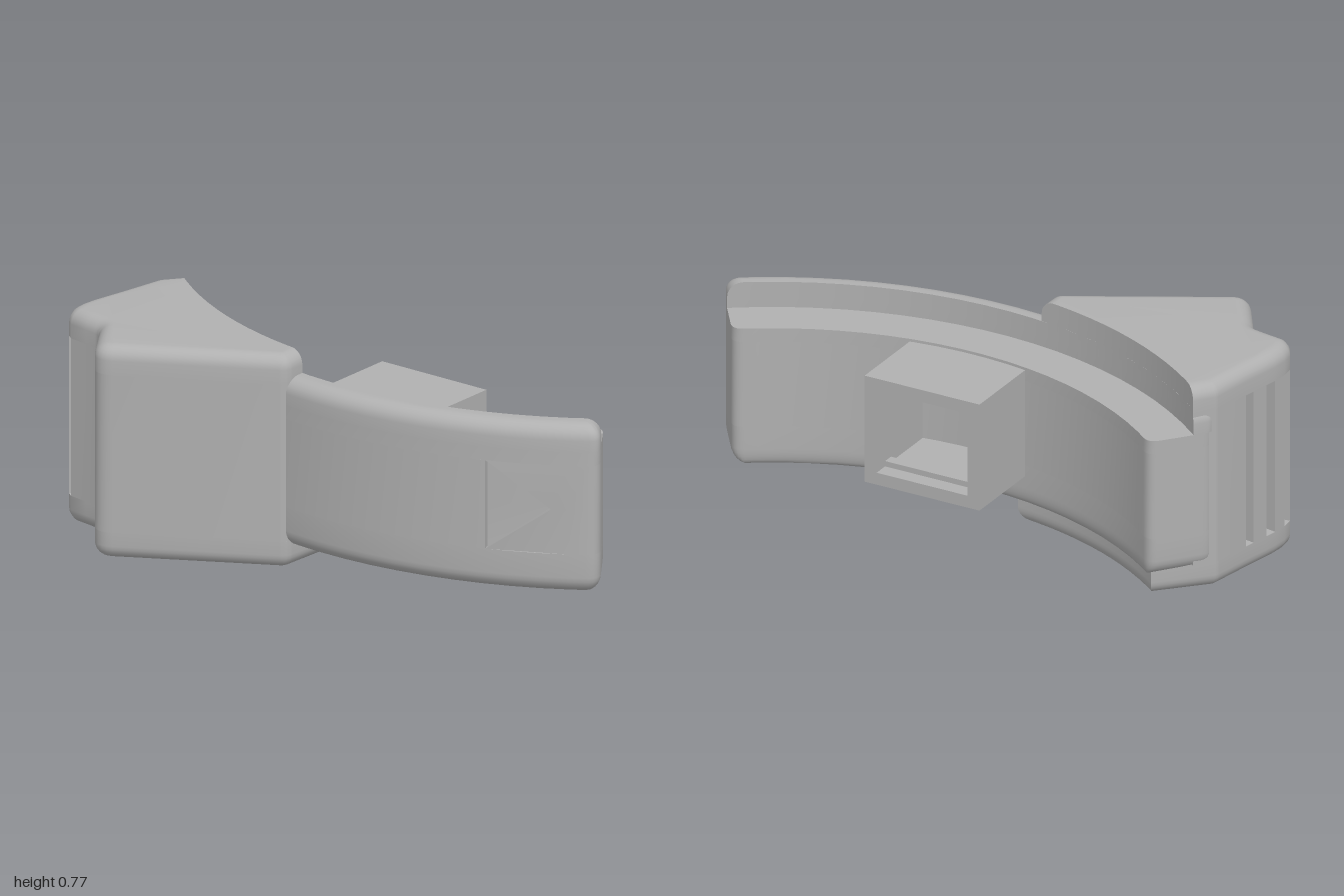
import * as THREE from 'three';
import { toCreasedNormals } from 'three/addons/utils/BufferGeometryUtils.js';

const CX = 1.47, CZ = 0.03;                       // centre of the curved band
const R_IN = 1.36, R_MID = 1.525, R_OUT = 1.605;  // inner face, step line, outer face
const SPAN = 37.7, SEGS = 20;

const polar = (r, deg) => {
  const a = THREE.MathUtils.degToRad(deg);
  return [CX - r * Math.cos(a), CZ + r * Math.sin(a)];
};

// Corners are [x, z, rounding, inset weight of the edge that follows].
// Insets the outline by d, then rounds its corners.
function outline(corners, d) {
  const n = corners.length;
  const edges = corners.map((c, i) => {
    const e = corners[(i + 1) % n];
    const dir = new THREE.Vector2(e[0] - c[0], e[1] - c[1]).normalize();
    const w = d * (c[3] ?? 1);
    return { dir, p: new THREE.Vector2(c[0] - dir.y * w, c[1] + dir.x * w) };
  });
  const pts = edges.map((e, i) => {
    const f = edges[(i + n - 1) % n];
    const cross = f.dir.cross(e.dir);
    if (d === 0 || Math.abs(cross) < 1e-3) return e.p.clone();
    const t = e.p.clone().sub(f.p).cross(e.dir) / cross;
    return f.p.clone().addScaledVector(f.dir, t);
  });
  const out = [];
  pts.forEach((p, i) => {
    const r = corners[i][2] ?? 0;
    if (!r) { out.push(p); return; }
    const a = pts[(i + n - 1) % n], b = pts[(i + 1) % n];
    const turn = edges[(i + n - 1) % n].dir.cross(edges[i].dir);
    const angle = Math.asin(Math.min(1, Math.abs(turn)));
    const radius = turn > 0 ? Math.max(r - d, 0.004) : r + d;
    const t = Math.min(radius * Math.tan(angle / 2), 0.48 * p.distanceTo(a), 0.48 * p.distanceTo(b));
    const start = p.clone().add(a.clone().sub(p).setLength(t));
    const end = p.clone().add(b.clone().sub(p).setLength(t));
    out.push(...new THREE.QuadraticBezierCurve(start, p, end).getPoints(6));
  });
  return out;
}

// Skins a stack of outlines [{ y, pts }] and closes both ends.
function loft(layers) {
  const pos = [], index = [], n = layers[0].pts.length;
  layers.forEach(({ y, pts }) => pts.forEach(p => pos.push(p.x, y, p.y)));
  for (let k = 0; k < layers.length - 1; k++) {
    for (let i = 0; i < n; i++) {
      const a = k * n + i, b = k * n + (i + 1) % n;
      index.push(a, a + n, b, b, a + n, b + n);
    }
  }
  const top = (layers.length - 1) * n;
  for (const [a, b, c] of THREE.ShapeUtils.triangulateShape(layers[0].pts, [])) index.push(a, b, c);
  for (const [a, b, c] of THREE.ShapeUtils.triangulateShape(layers.at(-1).pts, [])) {
    index.push(top + a, top + c, top + b);
  }
  const g = new THREE.BufferGeometry();
  g.setAttribute('position', new THREE.Float32BufferAttribute(pos, 3));
  g.setIndex(index);
  return toCreasedNormals(g, 0.62);
}

// Upright prism with optional rounded bottom and top edges.
function prism(corners, y0, y1, rBottom = 0, rTop = 0) {
  const layers = [];
  const add = (y, d) => layers.push({ y, pts: outline(corners, d) });
  const steps = r => (r ? 6 : 0);
  for (let k = 0; k <= steps(rBottom); k++) {
    const t = (k / 6) * Math.PI / 2;
    add(y0 + rBottom * (1 - Math.cos(t)), rBottom * (1 - Math.sin(t)));
  }
  for (let k = steps(rTop); k >= 0; k--) {
    const t = (k / 6) * Math.PI / 2;
    add(y1 - rTop * (1 - Math.cos(t)), rTop * (1 - Math.sin(t)));
  }
  return loft(layers);
}

const arc = (r, from, to, weight, segs = SEGS) =>
  Array.from({ length: segs + 1 }, (_, i) =>
    [...polar(r, from + (to - from) * i / segs), 0, weight]);

// Ring sector; notchTo cuts a shallow notch in the outer face up to that angle.
const NOTCH_FROM = 23.5;
function sector(rIn, inRounding, inWeight, notchTo) {
  const inner = arc(rIn, -SPAN, SPAN, inWeight);
  let outer = arc(R_OUT, SPAN, -SPAN, 1);
  inner[0][2] = inner[SEGS][2] = inRounding;
  inner[SEGS][3] = 1;
  outer[0][2] = outer[SEGS][2] = 0.055;
  if (notchTo) {
    const depth = R_OUT - 0.03;
    outer = [...outer.slice(0, 2),
      polar(R_OUT, notchTo), polar(depth, notchTo), polar(depth, NOTCH_FROM), polar(R_OUT, NOTCH_FROM),
      ...outer.slice(4)];
  }
  return [...inner, ...outer];
}

// Grip footprint: curved inner edge, wedge-shaped thumb side and grooved back.
function gripCorners(rInner, from, to, weight, grooveDepth = 0) {
  const inner = arc(rInner, from, to, weight, 12);
  inner[12][3] = 1;
  const grooves = [
    [[-0.256, -0.953], [-0.24, -0.975]],
    [[-0.21, -0.993], [-0.166, -0.999]],
    [[-0.11, -0.996], [-0.066, -0.989]],
    [[0, -0.978], [0.038, -0.972]],
  ].flatMap(([a, b]) => {
    if (!grooveDepth) return [a, b];
    const s = grooveDepth / Math.hypot(b[0] - a[0], b[1] - a[1]);
    const nx = -(b[1] - a[1]) * s, nz = (b[0] - a[0]) * s;
    return [a, [a[0] + nx, a[1] + nz], [b[0] + nx, b[1] + nz], b];
  });
  return [...inner,
    [-0.13, -0.1, 0.05], [-0.475, -0.67, 0.07], [-0.275, -0.81, 0.06], [-0.265, -0.88],
    ...grooves, [0.19, -0.95, 0.04]];
}

export function createModel() {
  const group = new THREE.Group();
  const grey = new THREE.MeshStandardMaterial({ color: 0xb0b0b0 });
  grey.name = 'plain grey';
  const add = (name, geometry, parent = group) => {
    const m = new THREE.Mesh(geometry, grey);
    m.name = name;
    parent.add(m);
    return m;
  };

  // Curved band, with a triangular arrow recess in its outer face
  const band = sector(R_IN, 0.045, 0.3);
  add('bandBottom', prism(band, 0.08, 0.225, 0.06));
  add('bandMiddle', loft([[0.225, 23.55], [0.385, 31.7], [0.545, 23.55]].map(([y, to]) =>
    ({ y, pts: outline(sector(R_IN, 0.045, 0.3, to), 0) }))));
  add('bandTop', prism(band, 0.545, 0.595));
  add('bandRim', prism(sector(R_MID, 0, 0), 0.595, 0.69, 0, 0.055));

  // Grip body at the back: wide foot, grooved middle and rounded cap
  add('gripFoot', prism(gripCorners(1.38, -36.6, -5.2, 0.5), 0, 0.1, 0.05));
  add('gripMiddle', prism(gripCorners(R_MID, -37.5, -4.9, 0, 0.04), 0.1, 0.67));
  add('gripCap', prism(gripCorners(R_MID, -37.5, -4.9, 0), 0.67, 0.77, 0, 0.05));

  // Hollow socket on the inner side, turned very slightly
  const socket = new THREE.Group();
  socket.name = 'socket';
  socket.position.set(0.28, 0.385, 0.08);
  socket.rotation.y = 0.033;
  group.add(socket);
  const rect = (Path, w, h) => new Path([[-w, -h], [w, -h], [w, h], [-w, h]].map(p => new THREE.Vector2(...p)));
  const frame = rect(THREE.Shape, 0.225, 0.2);
  frame.holes.push(rect(THREE.Path, 0.178, 0.155));
  const shell = new THREE.ExtrudeGeometry(frame, { depth: 0.345, bevelEnabled: false });
  shell.rotateY(Math.PI / 2).translate(-0.188, 0, 0);
  add('socketShell', shell, socket);
  for (const side of [1, -1]) {
    const ridge = add('socketRidge', new THREE.BoxGeometry(0.04, 0.022, 0.36), socket);
    ridge.position.set(0.08, side * 0.146, 0);
  }
  return group;
}
